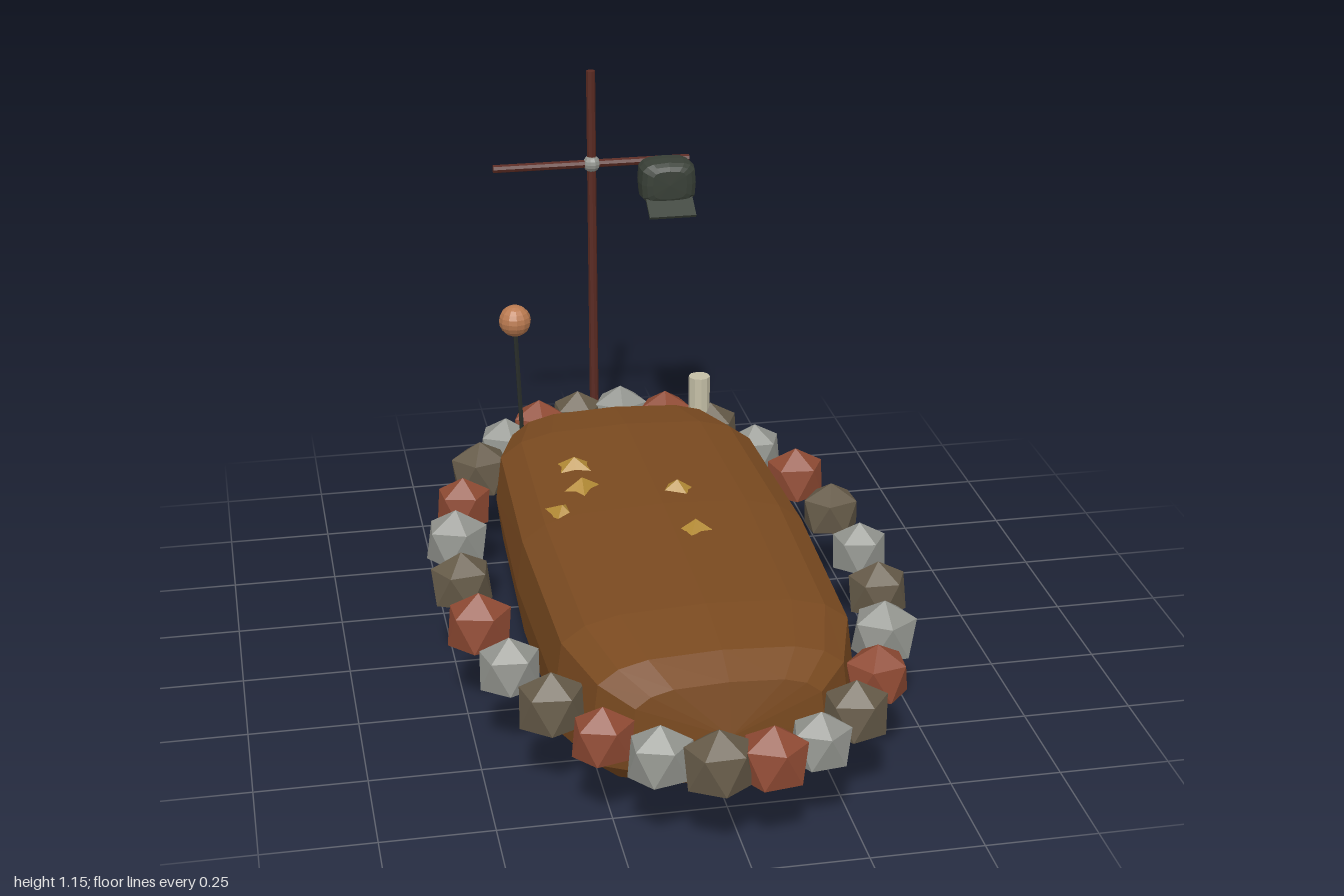
import * as THREE from 'three';

const mat = (name, color, side = THREE.FrontSide) => {
  const m = new THREE.MeshStandardMaterial({ color, flatShading: true, side });
  m.name = name;
  return m;
};

// Rounded block lofted along z from a soft-cornered ring; half sizes a, b, c
function softBlock(a, b, c) {
  const quarter = [[1, 0], [0.957, 0.63], [0.8, 0.84], [0.57, 0.95], [0, 1]];
  const ring = [];
  for (const [x, y] of quarter) ring.push([x, y]);
  for (let i = 3; i >= 0; i--) ring.push([-quarter[i][0], quarter[i][1]]);
  for (let i = 1; i <= 4; i++) ring.push([-quarter[i][0], -quarter[i][1]]);
  for (let i = 3; i >= 1; i--) ring.push([quarter[i][0], -quarter[i][1]]);
  // z position, width and height factors
  const half = [[0, 1, 1], [0.65, 0.955, 0.95], [0.87, 0.8, 0.82], [0.97, 0.6, 0.63], [1, 0, 0]];
  const sections = [...half.slice(1).reverse().map(([z, w, h]) => [-z, w, h]), ...half];
  const pos = [], idx = [], n = ring.length;
  for (const [z, w, h] of sections)
    for (const [x, y] of ring) pos.push(x * w * a, y * h * b, z * c);
  const last = sections.length - 2;
  for (let i = 0; i <= last; i++)
    for (let j = 0; j < n; j++) {
      const p = i * n + j, q = i * n + (j + 1) % n;
      if (i > 0) idx.push(p, q, p + n);
      if (i < last) idx.push(q, q + n, p + n);
      else if (i === last) continue;
    }
  const g = new THREE.BufferGeometry();
  g.setAttribute('position', new THREE.Float32BufferAttribute(pos, 3));
  g.setIndex(idx);
  g.computeVertexNormals();
  return g;
}

// Faceted stone with a flat base at y = 0
function stone(rx, ry, rz, yaw) {
  const g = new THREE.IcosahedronGeometry(1, 0);
  g.rotateZ(Math.atan2(2, 1 + Math.sqrt(5)));
  g.rotateY(yaw);
  const p = g.attributes.position;
  for (let i = 0; i < p.count; i++) p.setY(i, Math.max(p.getY(i), -0.6) + 0.6);
  // spread the lower ring down onto the base
  for (let i = 0; i < p.count; i++) if (p.getY(i) < 0.2) p.setY(i, 0);
  g.scale(rx, ry, rz);
  g.computeVertexNormals();
  return g;
}

// Cylinder between two points
function rod(from, to, r, sides) {
  const a = new THREE.Vector3(...from), b = new THREE.Vector3(...to);
  const d = b.clone().sub(a);
  const g = new THREE.CylinderGeometry(r, r, d.length(), sides);
  g.applyQuaternion(new THREE.Quaternion().setFromUnitVectors(new THREE.Vector3(0, 1, 0), d.normalize()));
  a.add(b).multiplyScalar(0.5);
  return g.translate(a.x, a.y, a.z);
}

export function createModel() {
  const model = new THREE.Group();
  const earth = mat('earth', 0x7a4a20);
  const grey = mat('greyStone', 0x92948e);
  const taupe = mat('taupeStone', 0x655a48);
  const red = mat('redStone', 0x8f4a33);
  const wood = mat('darkWood', 0x5a2a22);
  const green = mat('darkGreen', 0x383f36);
  const gold = mat('goldLeaf', 0xb58c36, THREE.DoubleSide);
  const copper = mat('copper', 0xba7a50);
  const cream = mat('cream', 0xc4bfa6);
  const black = mat('darkMetal', 0x2a2f2b);
  const add = (name, geo, material, x = 0, y = 0, z = 0) => {
    const m = new THREE.Mesh(geo, material);
    m.name = name;
    m.position.set(x, y, z);
    model.add(m);
    return m;
  };

  // Earth mound
  add('mound', softBlock(0.35, 0.19, 0.765), earth, 0, 0.19, 0.015);

  // Oval ring of stones in three repeating colours
  let seed = 7;
  const rand = () => (seed = (seed * 16807) % 2147483647) / 2147483647;
  const stones = [grey, taupe, red];
  for (let i = 0; i < 26; i++) {
    const t = (i / 26) * Math.PI * 2;
    const s = 0.95 + rand() * 0.13;
    add('borderStone', stone(0.077 * s, 0.073 * s, 0.067 * s, rand() * 6.28), stones[i % 3],
      0.48 * Math.cos(t), 0.175, 0.015 - 0.92 * Math.sin(t));
  }

  // Post, crossbar and knot
  add('post', rod([0, 0.19, -0.98], [0, 1.15, -0.98], 0.012, 8), wood);
  add('crossbar', rod([-0.26, 0.9, -0.98], [0.26, 0.9, -0.98], 0.011, 8), wood);
  add('knot', new THREE.SphereGeometry(0.023, 10, 8), grey, 0, 0.9, -0.98);

  // Hanging cap with a sloping brim
  add('cap', softBlock(0.075, 0.06, 0.052), green, 0.19, 0.86, -0.93);
  const brim = add('capBrim', new THREE.BoxGeometry(0.123, 0.008, 0.08), green, 0.19, 0.808, -0.872);
  brim.rotation.x = 0.55;

  // Ball on a thin leaning stem
  add('stem', rod([-0.235, 0.27, -0.71], [-0.25, 0.57, -0.685], 0.006, 6), black);
  add('ball', new THREE.SphereGeometry(0.041, 12, 10), copper, -0.25, 0.59, -0.685);

  // Candle
  add('candle', new THREE.CylinderGeometry(0.028, 0.028, 0.15, 10), cream, 0.243, 0.3, -0.745);

  // Crumpled leaves scattered on the mound
  const leaves = [[-0.17, -0.245, 0.372], [-0.17, -0.125, 0.372], [-0.235, -0.02, 0.355],
    [0.05, -0.065, 0.375], [0.05, 0.155, 0.375]];
  leaves.forEach(([x, z, y], k) => {
    const g = new THREE.ConeGeometry(0.052, 0.028, 8, 1, true);
    const p = g.attributes.position;
    for (let i = 0; i < p.count; i++)
      if (p.getY(i) < 0 && i % 2) p.setXYZ(i, p.getX(i) * 0.6, p.getY(i) + 0.004, p.getZ(i) * 0.6);
    const s = k < 3 ? 1 : 0.85;
    const leaf = add('leaf', g, gold, x, y + 0.012, z);
    leaf.scale.set(s, 1, s * 0.75);
    leaf.rotation.y = k * 0.9;
    if (k === 2) leaf.rotation.z = 0.15;
  });
  return model;
}
